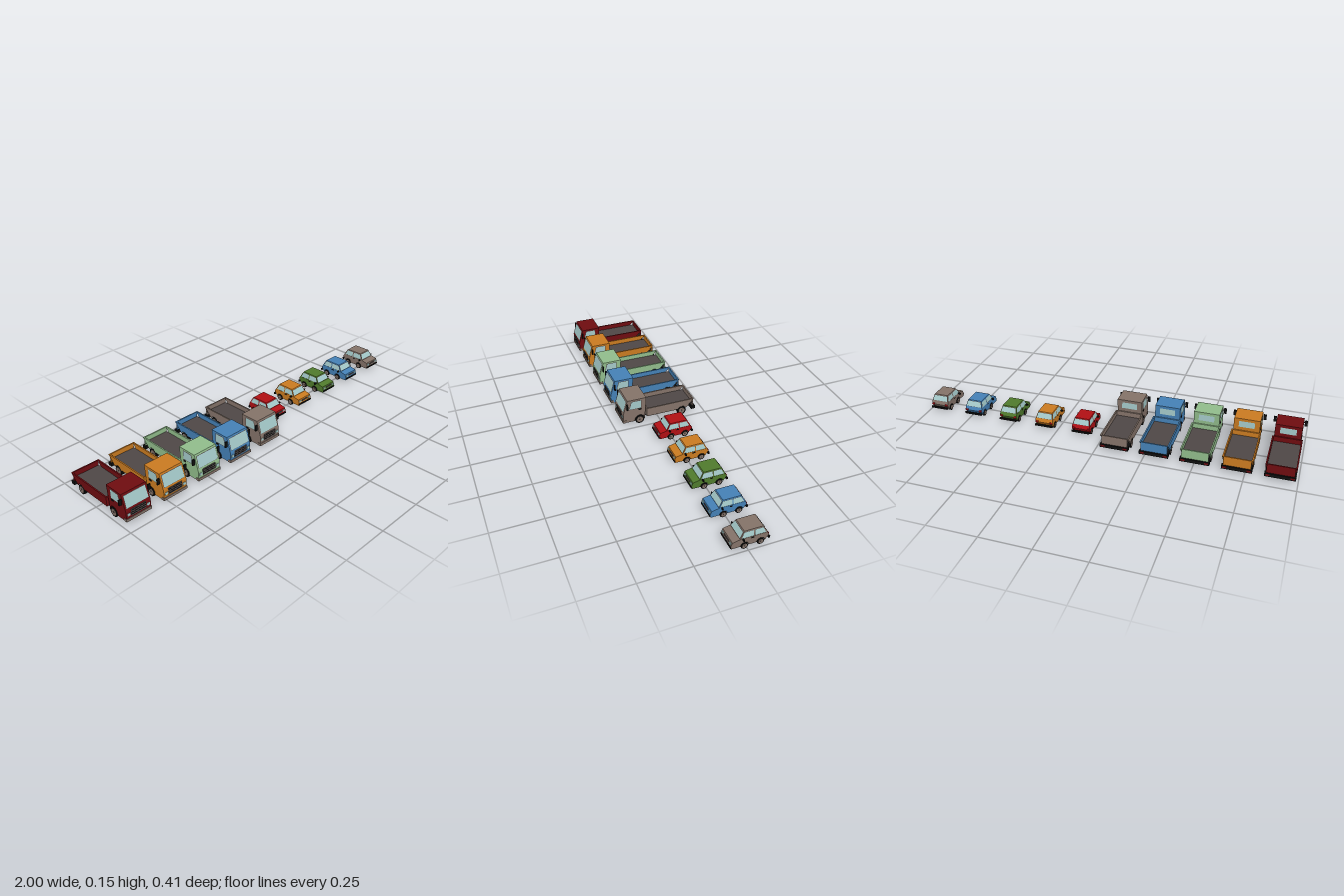
import * as THREE from 'three';

const mat = (name, color, side = THREE.FrontSide) => {
  const m = new THREE.MeshStandardMaterial({ color, side });
  m.name = name;
  return m;
};

export function createModel() {
  const M = {
    darkRed: mat('dark red paint', 0x6e0c10),
    orange: mat('orange paint', 0xc97a20),
    paleGreen: mat('pale green paint', 0x90bb8a),
    blue: mat('blue paint', 0x4480b5),
    taupe: mat('taupe paint', 0x837268),
    red: mat('red paint', 0xb00f14),
    green: mat('green paint', 0x4f7a2c),
    glass: mat('glass', 0xa3c8c8, THREE.DoubleSide),
    black: mat('black rubber', 0x0e0e0e, THREE.DoubleSide),
    grey: mat('dark grey', 0x4e4746, THREE.DoubleSide),
  };

  const add = (parent, name, geo, material) => {
    const mesh = new THREE.Mesh(geo, material);
    mesh.name = name;
    parent.add(mesh);
    return mesh;
  };

  // Box given by its size and centre
  const box = (parent, name, material, w, h, d, x, y, z) =>
    add(parent, name, new THREE.BoxGeometry(w, h, d).translate(x, y, z), material);

  // Side outline (z, y) from the rear bottom forwards, with wheel arches cut into the bottom edge
  const outline = (points, arches = []) => {
    const s = new THREE.Shape();
    const [z0, y0] = points[0];
    s.moveTo(z0, y0);
    for (const [cz, cy, r] of arches) {
      const a = Math.asin((cy - y0) / r);
      s.absarc(cz, cy, r, Math.PI + a, -a, true);
    }
    points.slice(1).forEach(([z, y]) => s.lineTo(z, y));
    s.closePath();
    return s;
  };

  // Extrude a side outline across x, with an optional half-width rule that depends on height
  const slab = (shape, width, x = 0, halfWidth = null) => {
    const g = new THREE.ExtrudeGeometry(shape, { depth: width, bevelEnabled: false, curveSegments: 8 });
    g.translate(0, 0, -width / 2).rotateY(-Math.PI / 2).translate(x, 0, 0);
    if (halfWidth) {
      const p = g.attributes.position;
      for (let i = 0; i < p.count; i++) p.setX(i, Math.sign(p.getX(i)) * halfWidth(p.getY(i)));
      g.computeVertexNormals();
    }
    return g;
  };

  // Thin flat plate through a loop of 3D points
  const plate = (parent, name, material, points) => {
    const g = new THREE.BufferGeometry();
    g.setAttribute('position', new THREE.Float32BufferAttribute(points.flat(), 3));
    const idx = [];
    for (let i = 1; i < points.length - 1; i++) idx.push(0, i, i + 1);
    g.setIndex(idx);
    g.computeVertexNormals();
    // face outward from the vehicle
    const n = g.attributes.normal, p = g.attributes.position;
    const out = name.includes('side') ? n.getX(0) * p.getX(0) : n.getZ(0) * (name.includes('rear') ? -1 : 1);
    if (out < 0) {
      g.setIndex(idx.reverse());
      g.computeVertexNormals();
    }
    return add(parent, name, g, material);
  };

  // Grow a 2D loop about its middle, for window frames
  const grow = (pts, d) => {
    const c = [0, 1].map(k => pts.reduce((s, p) => s + p[k], 0) / pts.length);
    return pts.map(p => p.map((v, k) => v + Math.sign(v - c[k]) * d));
  };

  // Framed window on a side or end; place(a, y, gap) maps the loop to 3D
  const window2 = (parent, name, pts, place, frame) => {
    plate(parent, name + ' frame', M.grey, grow(pts, frame).map(([a, y]) => place(a, y, 0.0006)));
    plate(parent, name + ' glass', M.glass, pts.map(([a, y]) => place(a, y, 0.0014)));
  };

  const wheel = (parent, x, z, r, w) => {
    const g = new THREE.Group();
    g.name = 'wheel';
    const cyl = (name, rad, len, material) =>
      add(g, name, new THREE.CylinderGeometry(rad, rad, len, 10).rotateZ(Math.PI / 2), material);
    cyl('tyre', r, w, M.black);
    cyl('rim', r * 0.68, w + 0.003, M.taupe);
    cyl('hub cap', r * 0.2, w + 0.005, M.grey);
    g.position.set(x, r, z);
    parent.add(g);
  };

  const axles = (parent, zs, r, w, outer) => {
    for (const z of zs) {
      for (const s of [-1, 1]) wheel(parent, s * (outer - w / 2), z, r, w);
      add(parent, 'axle', new THREE.CylinderGeometry(0.004, 0.004, 2 * outer - w, 8)
        .rotateZ(Math.PI / 2).translate(0, r, z), M.black);
    }
  };

  function truck(paint) {
    const t = new THREE.Group();
    t.name = 'truck';
    const R = 0.025, frontZ = 0.11, rearZ = -0.125, hw = 0.066;

    // Cab
    add(t, 'cab', slab(outline([[0.0725, 0.02], [0.2, 0.02], [0.201, 0.071], [0.1765, 0.152], [0.0725, 0.152]],
      [[frontZ, R, 0.0275]]), 2 * hw), paint);
    const nose = y => 0.201 - (y - 0.071) * (0.0245 / 0.081);
    window2(t, 'windscreen', [[-0.058, 0.086], [0.058, 0.086], [0.056, 0.142], [-0.056, 0.142]],
      (x, y, e) => [x, y, nose(y) + e * 1.5], 0.002);
    plate(t, 'rear cab window', M.glass,
      [[-0.04, 0.105], [0.04, 0.105], [0.04, 0.138], [-0.04, 0.138]].map(([x, y]) => [x, y, 0.0715]));
    for (const s of [-1, 1]) {
      window2(t, 'side window', [[0.166, 0.098], [0.102, 0.098], [0.102, 0.141], [0.153, 0.141]],
        (z, y, e) => [s * (hw + e), y, z], 0.003);
      box(t, 'door handle', M.black, 0.004, 0.008, 0.016, s * hw, 0.088, 0.109);
      box(t, 'mirror', M.black, 0.014, 0.03, 0.006, s * 0.077, 0.12, 0.181);
      box(t, 'mirror arm', M.black, 0.014, 0.003, 0.003, s * 0.068, 0.125, 0.18);
      box(t, 'headlight', M.glass, 0.015, 0.013, 0.004, s * 0.052, 0.053, 0.2005);
    }
    box(t, 'grille', M.grey, 0.08, 0.034, 0.003, 0, 0.058, 0.2005);
    for (let i = 0; i < 3; i++) box(t, 'grille bar', M.black, 0.078, 0.003, 0.004, 0, 0.048 + i * 0.01, 0.201);
    box(t, 'front bumper', M.taupe, 0.136, 0.014, 0.018, 0, 0.027, 0.194);

    // Load bed
    const side = outline([[-0.194, 0.038], [0.0725, 0.038], [0.0725, 0.086], [-0.194, 0.086]], [[rearZ, R, 0.0275]]);
    for (const s of [-1, 1]) add(t, 'bed side', slab(side, 0.007, s * 0.0705), paint);
    box(t, 'tailgate', paint, 0.134, 0.048, 0.007, 0, 0.062, -0.1905);
    box(t, 'bed front wall', paint, 0.134, 0.048, 0.007, 0, 0.062, 0.069);
    box(t, 'bed floor', M.grey, 0.134, 0.006, 0.252, 0, 0.057, -0.061);
    box(t, 'chassis', M.grey, 0.085, 0.03, 0.262, 0, 0.04, -0.06);
    box(t, 'rear bumper', M.black, 0.148, 0.017, 0.022, 0, 0.03, -0.191);
    for (const s of [-1, 1]) box(t, 'tail light', M.darkRed, 0.02, 0.009, 0.002, s * 0.058, 0.031, -0.2022);
    axles(t, [frontZ], R, 0.018, 0.067);
    axles(t, [rearZ], R, 0.02, 0.072);
    return t;
  }

  function car(paint) {
    const c = new THREE.Group();
    c.name = 'car';
    const R = 0.017, wheels = [-0.065, 0.0116], hw = 0.048, belt = 0.059, roof = 0.092;

    // Lower body and tapered cabin
    add(c, 'body', slab(outline([[-0.103, 0.017], [0.073, 0.017], [0.076, 0.034], [0.069, 0.051],
      [0.034, belt], [-0.096, belt], [-0.103, 0.042]], wheels.map(z => [z, R, 0.0195])), 2 * hw), paint);
    const half = y => hw - 0.001 - Math.max(0, y - belt) * 0.24;
    add(c, 'cabin', slab(outline([[-0.096, belt], [0.034, belt], [0.013, roof], [-0.078, roof]]),
      2 * hw, 0, half), paint);

    // Windows
    const slope = (y, z0, z1) => z0 + (z1 - z0) * (y - belt) / (roof - belt);
    const pane = [[-0.042, 0.063], [0.042, 0.063], [0.037, 0.087], [-0.037, 0.087]];
    window2(c, 'windscreen', pane, (x, y, e) => [x, y, slope(y, 0.034, 0.013) + e * 1.5], 0.0015);
    window2(c, 'rear window', pane, (x, y, e) => [x, y, slope(y, -0.096, -0.078) - e * 1.5], 0.0015);
    for (const s of [-1, 1]) {
      const onSide = (z, y, e) => [s * (half(y) + e), y, z];
      window2(c, 'front side window', [[0.027, 0.061], [-0.031, 0.061], [-0.031, 0.086], [0.013, 0.086]], onSide, 0.001);
      window2(c, 'back side window', [[-0.037, 0.061], [-0.088, 0.061], [-0.076, 0.086], [-0.037, 0.086]], onSide, 0.001);
      box(c, 'door handle', M.black, 0.003, 0.005, 0.013, s * hw, 0.052, -0.025);
      box(c, 'mirror', M.black, 0.014, 0.008, 0.005, s * 0.055, 0.058, 0.021);
      box(c, 'headlight', M.glass, 0.016, 0.009, 0.004, s * 0.036, 0.041, 0.0735);
      box(c, 'tail light', M.red, 0.014, 0.01, 0.003, s * 0.039, 0.043, -0.1025);
    }
    box(c, 'grille', M.grey, 0.044, 0.008, 0.004, 0, 0.041, 0.0735);
    box(c, 'front bumper', M.black, 0.096, 0.008, 0.008, 0, 0.026, 0.074);
    box(c, 'rear bumper', M.black, 0.096, 0.009, 0.009, 0, 0.026, -0.1055);
    axles(c, wheels, R, 0.012, 0.049);
    return c;
  }

  // Five trucks and five cars side by side
  const model = new THREE.Group();
  model.name = 'vehicle row';
  [M.darkRed, M.orange, M.paleGreen, M.blue, M.taupe].forEach((paint, i) => {
    const t = truck(paint);
    t.position.x = -0.915 + i * 0.2045;
    model.add(t);
  });
  [M.red, M.orange, M.green, M.blue, M.taupe].forEach((paint, i) => {
    const c = car(paint);
    c.position.x = 0.114 + i * 0.2055;
    model.add(c);
  });
  return model;
}
